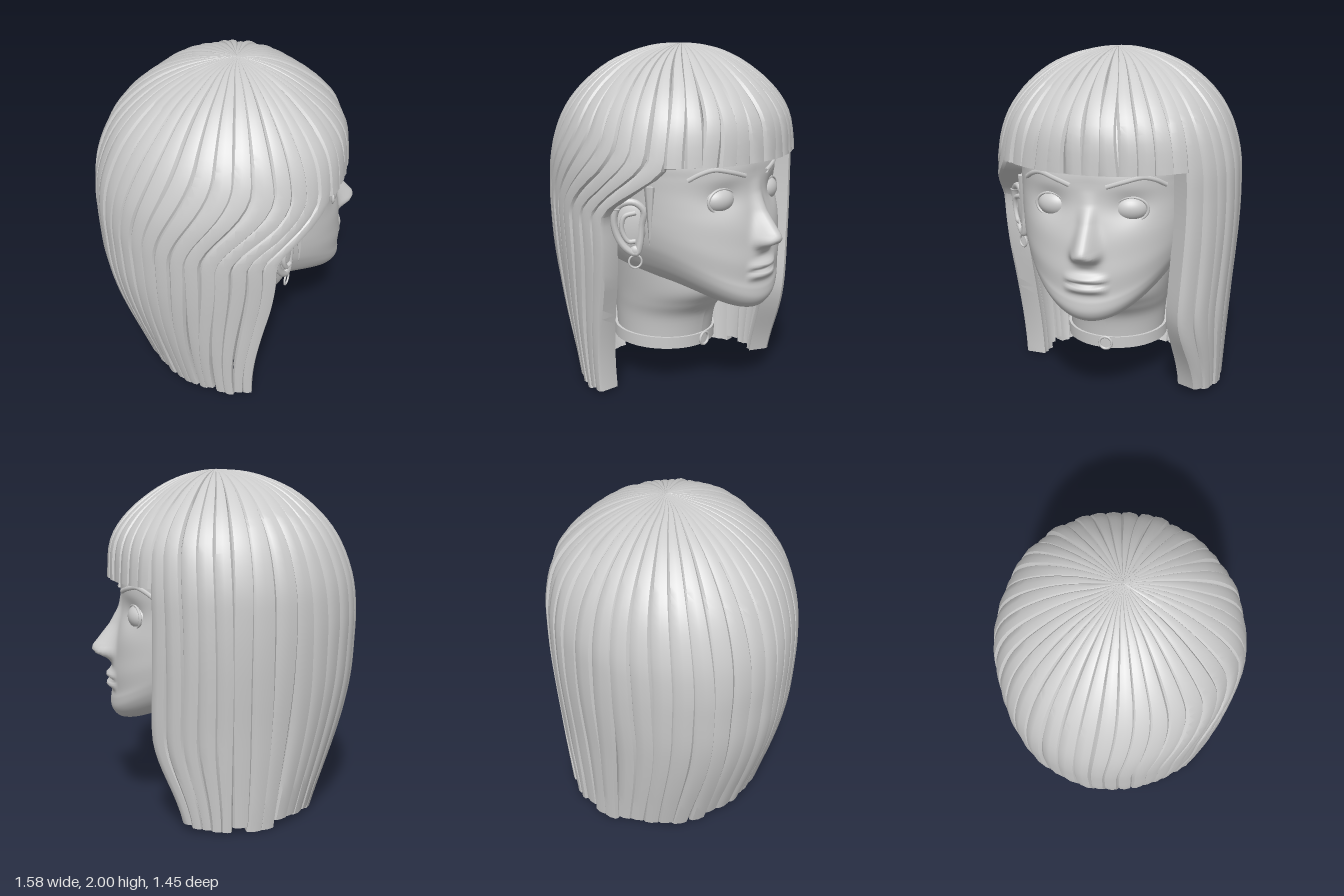
import * as THREE from 'three';
import { toCreasedNormals } from 'three/addons/utils/BufferGeometryUtils.js';

const grey = new THREE.MeshStandardMaterial({ color: 0xcccccc, side: THREE.DoubleSide });
grey.name = 'plain grey';

const { clamp, lerp, smoothstep, degToRad } = THREE.MathUtils;
const gauss = (d, s) => Math.exp(-(d * d) / (s * s));
let seed = 7;
const rnd = () => (seed = (seed * 16807) % 2147483647) / 2147483647;

function add(parent, name, geometry, x = 0, y = 0, z = 0) {
  const m = new THREE.Mesh(geometry, grey);
  m.name = name;
  m.position.set(x, y, z);
  parent.add(m);
  return m;
}

// smooth interpolation down a table of cross-sections
function sample(rows, s) {
  const i = clamp(Math.floor(s), 0, rows.length - 2), t = s - i;
  const r = k => rows[clamp(k, 0, rows.length - 1)];
  return rows[0].map((_, c) => {
    const a = r(i - 1)[c], b = r(i)[c], d = r(i + 1)[c], e = r(i + 2)[c];
    return b + 0.5 * t * (d - a + t * (2 * a - 5 * b + 4 * d - e + t * (3 * (b - d) + e - a)));
  });
}

// surface of rows x cols quads; rows run upwards unless down is set
function loft(rows, cols, f, down = false, cap = false) {
  const pos = [], idx = [], n = cols + 1;
  for (let i = 0; i <= rows; i++) for (let j = 0; j <= cols; j++) pos.push(...f(i / rows, j / cols));
  const tri = (a, b, c) => (down ? idx.push(a, c, b) : idx.push(a, b, c));
  for (let i = 0; i < rows; i++) for (let j = 0; j < cols; j++) {
    const a = i * n + j;
    tri(a, a + n, a + 1);
    tri(a + 1, a + n, a + n + 1);
  }
  if (cap) for (let j = 1; j < cols - 1; j++) tri(rows * n, rows * n + j + 1, rows * n + j);
  const g = new THREE.BufferGeometry();
  g.setAttribute('position', new THREE.Float32BufferAttribute(pos, 3));
  g.setIndex(idx);
  g.computeVertexNormals();
  return g;
}

// head sections: front height, front x, side height, half width, back x
const HEAD = [
  [0.57, 0.30, 0.64, 0.09, -0.1], [0.55, 0.45, 0.66, 0.22, -0.3], [0.53, 0.56, 0.69, 0.31, -0.35],
  [0.535, 0.63, 0.73, 0.365, -0.4], [0.56, 0.665, 0.77, 0.40, -0.45], [0.6, 0.685, 0.82, 0.43, -0.5],
  [0.65, 0.685, 0.87, 0.455, -0.53], [0.7, 0.677, 0.92, 0.475, -0.56], [0.8, 0.68, 0.98, 0.49, -0.6],
  [0.9, 0.67, 1.04, 0.5, -0.62], [1.0, 0.66, 1.1, 0.505, -0.64], [1.1, 0.64, 1.16, 0.51, -0.65],
  [1.2, 0.62, 1.23, 0.515, -0.66], [1.3, 0.612, 1.31, 0.52, -0.66], [1.4, 0.605, 1.4, 0.52, -0.66],
  [1.6, 0.54, 1.6, 0.48, -0.58], [1.8, 0.35, 1.8, 0.33, -0.38], [1.88, 0.12, 1.88, 0.02, 0.08],
];
// nose ridge: height, projection
const NOSE = [[0.85, 0], [0.885, 0.025], [0.905, 0.06], [0.925, 0.105], [0.95, 0.128], [0.975, 0.124], [1.01, 0.1],
  [1.1, 0.047], [1.2, 0.012], [1.28, 0]];

function relief(y, z) {
  let d = 0;
  for (let i = 0; i < NOSE.length - 1; i++) {
    const [y0, d0] = NOSE[i], [y1, d1] = NOSE[i + 1];
    if (y >= y0 && y < y1) d = lerp(d0, d1, (y - y0) / (y1 - y0));
  }
  const az = Math.abs(z), lip = Math.max(0, 1 - (z / 0.135) ** 2);
  d *= Math.exp(-((az / lerp(0.066, 0.045, smoothstep(y, 0.95, 1.12))) ** 2.6));
  d += 0.03 * gauss(az - 0.058, 0.026) * gauss(y - 0.93, 0.03);           // nostril wings
  d += lip * (0.034 * gauss(y - 0.793, 0.024) + 0.034 * gauss(y - 0.738, 0.023));
  d -= lip * 0.02 * gauss(y - 0.766, 0.01);                               // mouth line
  d -= 0.028 * gauss(az - 0.222, 0.1) * gauss(y - 1.18, 0.075);           // eye sockets
  d += 0.01 * gauss(az - 0.22, 0.15) * gauss(y - 1.31, 0.05);             // brow
  return d;
}

function headPoint(v, u) {
  const [yf, xf, ys, w, xb] = sample(HEAD, v * (HEAD.length - 1));
  const k = 2 * u - 1, a = Math.PI * (0.45 * k + 0.55 * k ** 3), c = Math.cos(a);
  const z = w * Math.sin(a);
  if (c <= 0) return [0.1 + (0.1 - xb) * c, ys, z];
  const y = lerp(ys, yf, c * c);
  return [0.1 + (xf - 0.1) * c ** 0.9 + relief(y, z) * smoothstep(c, 0.1, 0.6), y, z];
}
const foreheadX = z => 0.1 + 0.518 * (1 - (z / 0.52) ** 2) ** 0.45;

// neck sections: height, centre x, depth, half width
const NECK = [[0.22, -0.06, 0.285, 0.285], [0.4, -0.05, 0.305, 0.3], [0.5, -0.02, 0.345, 0.32],
  [0.6, 0, 0.39, 0.34], [0.78, 0, 0.38, 0.38]];

// hair shell: height, front x, back x, half width
const HAIR = [[2.0, 0.05, 0.05, 0.001], [1.988, 0.16, -0.12, 0.13], [1.95, 0.29, -0.27, 0.28],
  [1.875, 0.43, -0.43, 0.43], [1.75, 0.58, -0.58, 0.57], [1.6, 0.675, -0.69, 0.665], [1.4, 0.695, -0.768, 0.72],
  [1.2, 0.69, -0.795, 0.73], [1.0, 0.69, -0.79, 0.725], [0.8, 0.69, -0.775, 0.71], [0.6, 0.69, -0.735, 0.692],
  [0.4, 0.67, -0.675, 0.677], [0.2, 0.63, -0.605, 0.662], [0, 0.59, -0.535, 0.648]];

// one lock, swept from the crown to row `end` around angle phi (degrees)
function lock(phi, half, end, depth) {
  const section = [[-1, 0.02], [-0.75, 0.004], [0, 0], [0.7, 0.006], [1, 0.02],
    [0.9, depth], [0, depth - 0.006], [-0.9, depth], [-1, 0.02]];
  const wob = rnd() * 6, lift = rnd() * 0.012;
  return toCreasedNormals(loft(Math.ceil(end * 3.5), 8, (v, u) => {
    const [y, xf, xb, w] = sample(HAIR, v * end);
    const [side, inset] = section[Math.round(u * 8)];
    let deg = phi + side * half * 1.12 + 1.1 * Math.sin(wob + v * 8) * v;
    // locks beside the visible ear are tucked back behind it
    if (phi > 54 && phi < 175) {
      const q = clamp((deg - 54) / 120, 0, 1);
      deg += (1 - q) * (33 * (1 - smoothstep(y, 1.06, 1.4 + 0.5 * q)) + 11 * (1 - smoothstep(y, 0, 0.95)));
    }
    // tips on the other side turn back from the face
    if (phi > 270) deg -= 14 * clamp((deg - 270) / 44, 0, 1) * (1 - smoothstep(y, 0, 0.55));
    const a = degToRad(deg), c = Math.cos(a);
    const p = new THREE.Vector3(0.05 + (c > 0 ? xf - 0.05 : 0.05 - xb) * c, y, w * Math.sin(a));
    const inward = new THREE.Vector3(0.05, Math.min(y, 1.25), 0).sub(p).normalize();
    p.addScaledVector(inward, (inset + lift) * Math.min(1, w / 0.45));
    return p.toArray();
  }, true, true), 0.6);
}

function buildHair(parent) {
  const hair = new THREE.Group();
  hair.name = 'hair';
  parent.add(hair);
  const first = -46, edge = 54, bangs = 12, long = 30;
  const bw = (edge - first) / bangs, lw = (360 - edge + first) / long;
  for (let i = 0; i < bangs; i++)
    add(hair, 'fringeLock', lock(first + bw * (i + 0.5), bw / 2, 6.07 + rnd() * 0.02, 0.07));
  for (let i = 0; i < long; i++) {
    const depth = i < 2 ? 0.13 : i === long - 1 ? 0.14 : 0.075;
    add(hair, 'longLock', lock(edge + 1 + lw * (i + 0.5), lw / 2, 13 - rnd() * 0.3, depth));
  }
  // wisp in front of the ear
  const wisp = add(hair, 'sideWisp', new THREE.ConeGeometry(0.035, 0.34, 6), 0.265, 1.09, 0.53);
  wisp.rotation.x = Math.PI;
  wisp.scale.z = 0.6;
}

function buildEar() {
  const ear = new THREE.Group();
  ear.name = 'ear';
  const tube = (pts, r, closed) => new THREE.TubeGeometry(new THREE.CatmullRomCurve3(
    pts.map(p => new THREE.Vector3(...p)), closed), 40, r, 8, closed);
  add(ear, 'earBase', new THREE.SphereGeometry(1, 24, 16), 0, 0.01, -0.01).scale.set(0.085, 0.14, 0.03);
  add(ear, 'earRim', tube([[0.06, 0.02, 0], [0.075, 0.1, 0.01], [0.02, 0.15, 0.02], [-0.06, 0.13, 0.025],
    [-0.09, 0.05, 0.02], [-0.07, -0.05, 0.012], [-0.02, -0.12, 0.008], [0.03, -0.145, 0], [0.05, -0.09, 0]], 0.02, true));
  add(ear, 'earFold', tube([[0.03, 0.09, 0.015], [-0.03, 0.07, 0.03], [-0.045, 0, 0.03],
    [-0.01, -0.07, 0.025], [0.03, -0.07, 0.02]], 0.014, false));
  add(ear, 'earLobe', new THREE.SphereGeometry(0.032, 16, 12), 0.025, -0.13, 0.002).scale.z = 0.6;
  const hoop = add(ear, 'hoopEarring', new THREE.TorusGeometry(0.036, 0.006, 8, 28), 0.025, -0.19, 0.005);
  hoop.rotation.y = 0.3;
  const cuff = add(ear, 'earCuff', new THREE.TorusGeometry(0.024, 0.005, 6, 18), -0.078, 0.11, 0.022);
  cuff.rotation.x = Math.PI / 2;
  ear.rotation.y = 0.6;
  return ear;
}

export function createModel() {
  const model = new THREE.Group();
  model.name = 'bust';
  const head = new THREE.Group();
  head.name = 'head';
  head.position.z = 0.028;
  model.add(head);

  add(head, 'face', loft(136, 112, headPoint));
  add(head, 'neck', loft(24, 48, (v, u) => {
    const [y, cx, rx, rz] = sample(NECK, v * 4), a = u * Math.PI * 2;
    return [cx + rx * Math.cos(a), y, rz * Math.sin(a)];
  }));

  for (const s of [1, -1]) {
    // eye with its lid rim
    const eye = new THREE.Group();
    eye.name = 'eye';
    eye.position.set(0.515, 1.175, s * 0.218);
    eye.rotation.y = -s * 0.26;
    head.add(eye);
    add(eye, 'eyeball', new THREE.SphereGeometry(1, 32, 20)).scale.set(0.075, 0.075, 0.1);
    add(eye, 'eyelid', new THREE.TorusGeometry(0.093, 0.009, 8, 40).rotateY(Math.PI / 2), 0.04).scale.y = 0.72;

    // eyebrow following the forehead
    const brow = [[0.1, 1.305], [0.2, 1.335], [0.29, 1.353], [0.35, 1.335], [0.4, 1.3]]
      .map(([z, y]) => new THREE.Vector3(foreheadX(z) + 0.004, y, s * z));
    add(head, 'eyebrow', new THREE.TubeGeometry(new THREE.CatmullRomCurve3(brow), 24, 0.014, 6));

    const ear = buildEar();
    const side = new THREE.Group();
    side.name = 'earSide';
    side.scale.z = s;
    ear.position.set(0.16, 1.02, 0.54);
    side.add(ear);
    head.add(side);
  }

  // choker band with front ring
  const choker = new THREE.Group();
  choker.name = 'choker';
  choker.position.set(-0.06, 0.258, 0);
  choker.rotation.z = -0.03;
  head.add(choker);
  const band = [[0.288, -0.035], [0.306, -0.035], [0.306, 0.035], [0.288, 0.035]].map(p => new THREE.Vector2(...p));
  add(choker, 'chokerBand', toCreasedNormals(new THREE.LatheGeometry(band, 56), 0.6));
  add(choker, 'chokerRing', new THREE.TorusGeometry(0.038, 0.008, 8, 28).rotateY(Math.PI / 2), 0.315);

  buildHair(model);
  return model;
}
